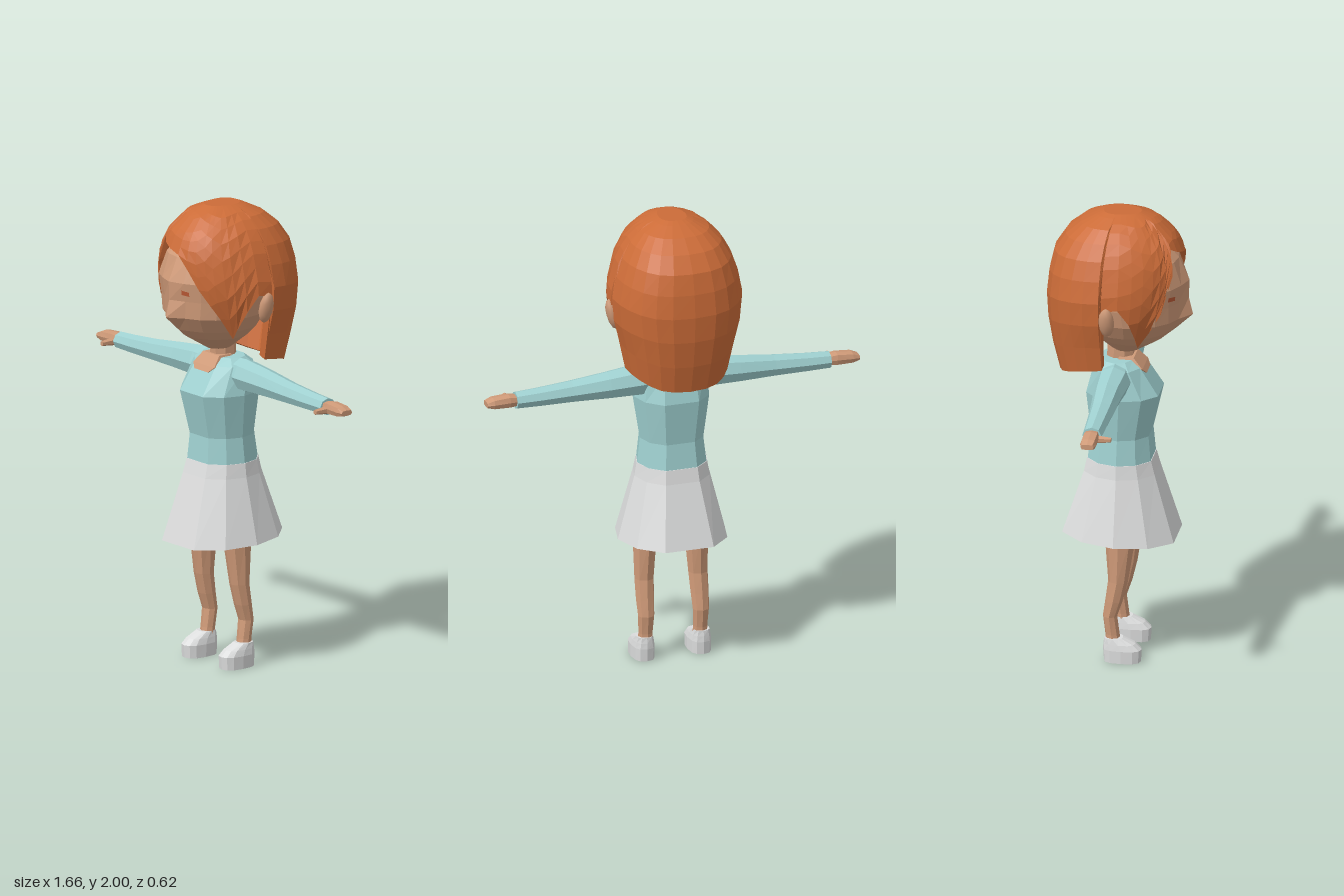
import * as THREE from 'three';

const mat = (name, color) => {
  const m = new THREE.MeshStandardMaterial({ color });
  m.name = name;
  return m;
};
const V = (x, y, z) => new THREE.Vector3(x, y, z);
const rad = THREE.MathUtils.degToRad;
const pow = (v, e) => Math.sign(v) * Math.pow(Math.abs(v), e);
const steps = (n, offset = 0) => Array.from({ length: n }, (_, i) => offset + (i * 360) / n);

// Faceted skin over a stack of closed rings, with both ends capped on request
function loft(rings, capStart = true, capEnd = true) {
  const pos = [];
  const tri = (...p) => p.forEach(v => pos.push(v.x, v.y, v.z));
  const mid = r => r.reduce((s, p) => s.add(p), V(0, 0, 0)).divideScalar(r.length);
  const n = rings[0].length, first = rings[0], last = rings[rings.length - 1];
  const c0 = mid(first), c1 = mid(last);
  for (let j = 0; j < n; j++) {
    const k = (j + 1) % n;
    for (let i = 0; i < rings.length - 1; i++) {
      const a = rings[i], b = rings[i + 1];
      tri(a[j], a[k], b[k]);
      tri(a[j], b[k], b[j]);
    }
    if (capStart) tri(c0, first[k], first[j]);
    if (capEnd) tri(c1, last[j], last[k]);
  }
  const g = new THREE.BufferGeometry();
  g.setAttribute('position', new THREE.Float32BufferAttribute(pos, 3));
  g.computeVertexNormals();
  return g;
}

const mirror = rings => rings.map(r => r.map(p => V(-p.x, p.y, p.z)).reverse());

// Horizontal ring: height, half width, front z, back z
function section([y, w, zf, zb], angles, cx = 0, e = 1) {
  const flat = Math.max(...angles.map(a => Math.cos(rad(a))));
  const m = (zf + zb) / 2, h = (zf - zb) / 2 / flat;
  return angles.map(a => V(cx + w * pow(Math.sin(rad(a)), e), y, m + h * pow(Math.cos(rad(a)), e)));
}

// Ring across a limb lying along x: x, centre y, half height, centre z, half depth
const limbRing = ([x, y, ry, z, rz], e = 1) => steps(8).map(a =>
  V(x, y + ry * pow(Math.cos(rad(a)), e), z + rz * pow(Math.sin(rad(a)), e)));

// Piecewise linear lookup in a table sorted by its first column
function lookup(table, x, col = 1) {
  for (let i = 1; i < table.length; i++) {
    const a = table[i - 1], b = table[i];
    if (x <= b[0]) return a[col] + ((b[col] - a[col]) * Math.max(0, x - a[0])) / (b[0] - a[0]);
  }
  return table[table.length - 1][col];
}

export function createModel() {
  const skin = mat('skin', 0xcf9a78);
  const hairColor = mat('hair', 0xcc6c38);
  hairColor.side = THREE.DoubleSide;
  const knit = mat('sweater', 0x9fd0d0);
  const white = mat('white cloth', 0xdcdddd);
  const eyeColor = mat('eye', 0xbd5a36);
  eyeColor.side = THREE.DoubleSide;

  const model = new THREE.Group();
  const add = (name, geometry, material) => {
    const m = new THREE.Mesh(geometry, material);
    m.name = name;
    model.add(m);
    return m;
  };
  const addPair = (name, rings, material) => {
    add('left' + name, loft(rings), material);
    add('right' + name, loft(mirror(rings)), material);
  };

  // Head: height, half width, front, back, ridge of the profile
  const headTable = [
    [1.375, 0.05, 0.08, -0.03, 0], [1.44, 0.14, 0.185, -0.1, 0.005], [1.48, 0.175, 0.225, -0.14, 0.015],
    [1.545, 0.215, 0.27, -0.18, 0.04], [1.62, 0.23, 0.272, -0.2, 0.02], [1.7, 0.235, 0.283, -0.2, 0.012],
    [1.8, 0.22, 0.25, -0.19, 0], [1.9, 0.14, 0.16, -0.14, 0],
  ];
  const headAngles = steps(20);
  add('head', loft(headTable.map(row => {
    const r = section(row, headAngles);
    r[0].z += row[4];
    return r;
  })), skin);

  // Eyes: thin patches following the face
  const facePoint = (a, y) => {
    const p = section([y, ...[1, 2, 3].map(c => lookup(headTable, y, c))], [0, a])[1];
    return p.add(V(Math.sin(rad(a)), 0, Math.cos(rad(a))).multiplyScalar(0.006));
  };
  for (const [name, a0, a1] of [['rightEye', -39, -29], ['leftEye', 15, 24]]) {
    const c = [facePoint(a0, 1.65), facePoint(a1, 1.647), facePoint(a1, 1.665), facePoint(a0, 1.67)];
    const g = new THREE.BufferGeometry().setFromPoints([c[0], c[1], c[2], c[0], c[2], c[3]]);
    g.computeVertexNormals();
    add(name, g, eyeColor);
  }

  // Ears
  for (const s of [1, -1]) {
    const g = new THREE.IcosahedronGeometry(1, 1);
    g.scale(0.026, 0.072, 0.034).rotateZ(-s * 0.25);
    g.translate(s * 0.27, 1.59, -0.016);
    add(s > 0 ? 'leftEar' : 'rightEar', g, skin);
  }

  // Hair outline by height: half width, front depth, back depth
  const hairTable = [
    [1.28, 0.21, 0.1, 0.25], [1.4, 0.235, 0.13, 0.28], [1.5, 0.255, 0.2, 0.298], [1.6, 0.285, 0.25, 0.31],
    [1.7, 0.283, 0.275, 0.305], [1.82, 0.25, 0.275, 0.285], [1.9, 0.21, 0.24, 0.235],
    [1.97, 0.14, 0.165, 0.15], [2, 0.06, 0.09, 0.07],
  ];
  // Hairline: angle from the front, lower edge height (parting, side locks, ear gaps, back)
  const hairline = [
    [-180, 1.29], [-165, 1.293], [-150, 1.3], [-135, 1.315], [-120, 1.33], [-108, 1.34], [-96, 1.35],
    [-94, 1.64], [-86, 1.65], [-76, 1.58], [-66, 1.5], [-56, 1.45], [-48, 1.52], [-41, 1.6], [-31, 1.76],
    [-27, 1.87], [-16, 1.85], [-4, 1.835], [7, 1.82], [19, 1.76], [30, 1.68], [40, 1.61], [48, 1.55],
    [58, 1.455], [66, 1.5], [76, 1.58], [86, 1.65], [94, 1.64], [96, 1.35], [108, 1.34], [120, 1.33],
    [135, 1.315], [150, 1.3], [165, 1.293],
  ];
  const hairPoint = (angle, y) => {
    const s = Math.sin(rad(angle)), c = Math.cos(rad(angle));
    const [w, zf, zb] = [1, 2, 3].map(k => lookup(hairTable, y, k));
    return V(w * pow(s, 0.8) * (1 - 0.2 * Math.max(0, c)), y, (c > 0 ? zf : zb) * pow(c, 0.8));
  };
  const rows = 9;
  const hairRings = [hairline.map(([a, h]) => hairPoint(a, h).multiply(V(0.88, 1, 0.88)).add(V(0, 0.015, 0)))];
  for (let i = 0; i <= rows; i++) {
    const t = Math.sin((i / rows) * Math.PI / 2);
    hairRings.push(hairline.map(([a, h]) => hairPoint(a, h + (2 - h) * t)));
  }
  add('hair', loft(hairRings, false, true), hairColor);

  // Neck and the skin shown by the neckline
  add('neck', loft([[1.28, 0.055, 0.06, -0.06], [1.34, 0.05, 0.055, -0.055], [1.44, 0.048, 0.06, -0.05]]
    .map(r => section(r, steps(8, 22.5)))), skin);
  add('neckline', loft([[1.283, 0.1, 0.12, 0], [1.305, 0.155, 0.105, 0], [1.348, 0.12, 0.065, 0]]
    .map(r => section(r, [-27, 27, 153, 207]))), skin);

  // Sweater body and skirt share the same ten-sided section
  const bodyAngles = [-27, 27, 58, 90, 122, 153, 207, 238, 270, 302];
  add('sweater', loft([
    [0.885, 0.153, 0.14, -0.13], [1, 0.14, 0.13, -0.115], [1.19, 0.168, 0.173, -0.135],
    [1.31, 0.15, 0.095, -0.105], [1.34, 0.11, 0.06, -0.07],
  ].map(r => section(r, bodyAngles))), knit);
  const skirtRings = [[0.55, 0.238, 0.245, -0.232], [0.83, 0.165, 0.158, -0.145], [0.89, 0.155, 0.142, -0.132]]
    .map(r => section(r, bodyAngles));
  skirtRings[0].forEach(p => { p.y -= p.z * 0.045; });
  add('skirt', loft(skirtRings), white);

  // Sleeves, hands and thumbs
  addPair('Sleeve', [
    [0.07, 1.272, 0.066, -0.005, 0.06], [0.15, 1.272, 0.07, -0.005, 0.072], [0.29, 1.265, 0.06, -0.008, 0.062],
    [0.45, 1.257, 0.048, -0.005, 0.052], [0.6, 1.251, 0.041, -0.005, 0.045], [0.7, 1.249, 0.037, -0.005, 0.041],
  ].map(r => limbRing(r)), knit);
  addPair('Hand', [
    [0.69, 1.25, 0.022, -0.004, 0.028], [0.73, 1.252, 0.027, -0.004, 0.034],
    [0.8, 1.25, 0.023, -0.004, 0.034], [0.83, 1.248, 0.012, -0.004, 0.028],
  ].map(r => limbRing(r, 0.6)), skin);
  for (const s of [1, -1]) {
    const g = new THREE.CylinderGeometry(0.011, 0.018, 0.065, 6).toNonIndexed();
    g.rotateX(Math.PI / 2).translate(s * 0.72, 1.243, 0.048);
    g.computeVertexNormals();
    add(s > 0 ? 'leftThumb' : 'rightThumb', g, skin);
  }

  // Legs
  addPair('Leg', [
    [0.07, 0.034, 0.025, -0.045], [0.12, 0.032, 0.016, -0.045], [0.2, 0.036, 0.006, -0.055],
    [0.27, 0.04, 0.03, -0.045], [0.36, 0.043, 0.052, -0.033], [0.55, 0.054, 0.082, -0.048],
    [0.7, 0.058, 0.085, -0.055],
  ].map(r => section(r, steps(8), 0.122 - (r[0] > 0.3 ? (r[0] - 0.3) * 0.03 : 0))), skin);

  // Shoes
  addPair('Shoe', [
    [0, 0.047, 0.108, -0.05], [0.055, 0.048, 0.112, -0.054], [0.08, 0.043, 0.085, -0.052],
    [0.105, 0.036, 0.032, -0.048],
  ].map(r => section(r, steps(12), 0.126, 0.75)), white);

  return model;
}
